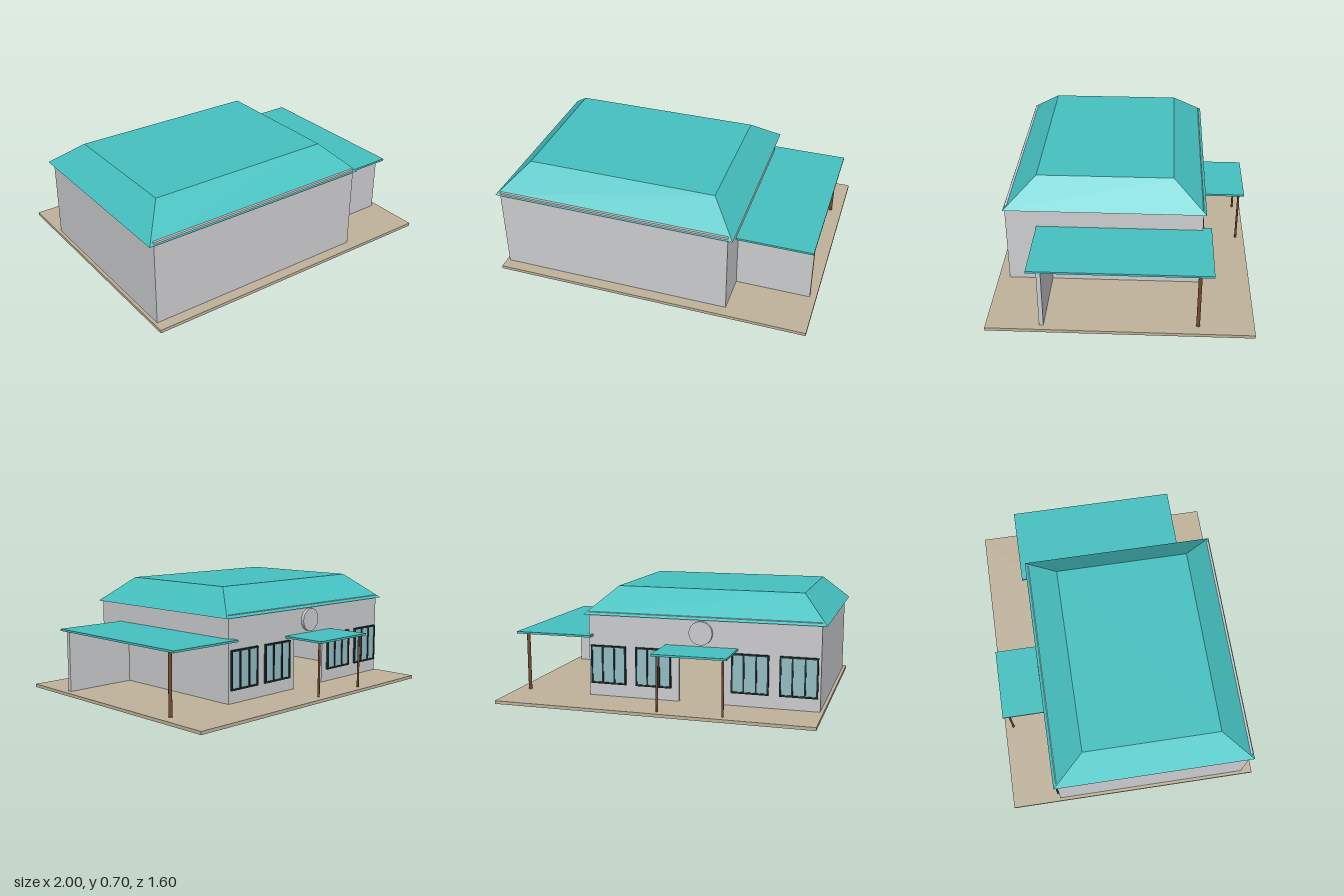
import * as THREE from 'three';

const mat = (name, color) => {
  const m = new THREE.MeshStandardMaterial({ color });
  m.name = name;
  return m;
};

export function createModel() {
  const group = new THREE.Group();
  const teal = mat('teal roofing', 0x46c0c0);
  const grey = mat('grey wall', 0xcccdd0);
  const sand = mat('sand paving', 0xbfb39c);
  const brown = mat('brown timber', 0x734a2e);
  const glass = mat('pale glass', 0x94bec4);
  const dark = mat('dark frame', 0x1c2e30);

  const add = (name, geo, material, parent = group) => {
    const mesh = new THREE.Mesh(geo, material);
    mesh.name = name;
    parent.add(mesh);
    return mesh;
  };
  // Box given by its lower and upper limits on each axis
  const box = (name, material, x0, x1, y0, y1, z0, z1, parent) => {
    const mesh = add(name, new THREE.BoxGeometry(x1 - x0, y1 - y0, z1 - z0), material, parent);
    mesh.position.set((x0 + x1) / 2, (y0 + y1) / 2, (z0 + z1) / 2);
    return mesh;
  };
  const post = (name, x, z, r, top) => {
    const mesh = add(name, new THREE.CylinderGeometry(r, r, top - 0.02, 16), brown);
    mesh.position.set(x, (top + 0.02) / 2, z);
  };

  // Paved base
  box('base', sand, -0.99, 1, 0, 0.02, -0.8, 0.8);

  // Hollow main building with a doorway in the back wall
  const T = 0.025, top = 0.556;
  box('frontWall', grey, -0.97, 0.49, 0.01, top, 0.73 - T, 0.73);
  box('rightWall', grey, -0.97, -0.97 + T, 0.01, top, -0.49 + T, 0.73 - T);
  box('leftWall', grey, 0.49 - T, 0.49, 0.01, top, -0.49 + T, 0.73 - T);
  const back = new THREE.Shape([
    [-0.97, 0.01], [-0.38, 0.01], [-0.38, 0.35], [-0.1, 0.35],
    [-0.1, 0.01], [0.49, 0.01], [0.49, top], [-0.97, top],
  ].map(([x, y]) => new THREE.Vector2(x, y)));
  add('backWall', new THREE.ExtrudeGeometry(back, { depth: T, bevelEnabled: false }), grey)
    .position.z = -0.49;

  // Hipped roof with a flat top: a unit box whose corners are moved to eave and ridge
  const roof = new THREE.BoxGeometry(1, 1, 1);
  const p = roof.attributes.position;
  for (let i = 0; i < p.count; i++) {
    const up = p.getY(i) > 0;
    const x = p.getX(i) > 0 ? (up ? 0.355 : 0.52) : (up ? -0.835 : -1);
    const z = p.getZ(i) > 0 ? (up ? 0.543 : 0.737) : (up ? -0.305 : -0.508);
    p.setXYZ(i, x, up ? 0.7 : 0.538, z);
  }
  roof.computeVertexNormals();
  add('mainRoof', roof, teal);

  // Carport: roof slab, end wall and post
  box('carportRoof', teal, 0.46, 0.965, 0.4, 0.413, -0.545, 0.54);
  box('carportWall', grey, 0.49, 0.96, 0.01, 0.4, 0.453, 0.479);
  post('carportPost', 0.923, -0.465, 0.011, 0.4);

  // Entrance canopy on two slim posts
  box('porchRoof', teal, -0.468, -0.014, 0.36, 0.373, -0.78, -0.49);
  for (const x of [-0.44, -0.04]) post('porchPost', x, -0.745, 0.007, 0.36);

  // Blank round plaque above the entrance
  const plaque = add('plaque', new THREE.CylinderGeometry(0.073, 0.073, 0.02, 40), grey);
  plaque.rotation.x = Math.PI / 2;
  plaque.position.set(-0.24, 0.457, -0.5);

  // Three-pane windows along the back
  for (const cx of [-0.84, -0.545, 0.065, 0.36]) {
    const win = new THREE.Group();
    win.name = 'window';
    win.position.set(cx, 0, 0);
    group.add(win);
    const w = 0.115, f = 0.01, y0 = 0.1, y1 = 0.345;
    box('glass', glass, -w + f, w - f, y0 + f, y1 - f, -0.498, -0.49, win);
    box('sill', dark, -w, w, y0, y0 + f, -0.505, -0.49, win);
    box('head', dark, -w, w, y1 - f, y1, -0.505, -0.49, win);
    for (const x of [-w + f / 2, -w / 3, w / 3, w - f / 2])
      box('upright', dark, x - f / 2, x + f / 2, y0 + f, y1 - f, -0.504, -0.49, win);
  }
  return group;
}
